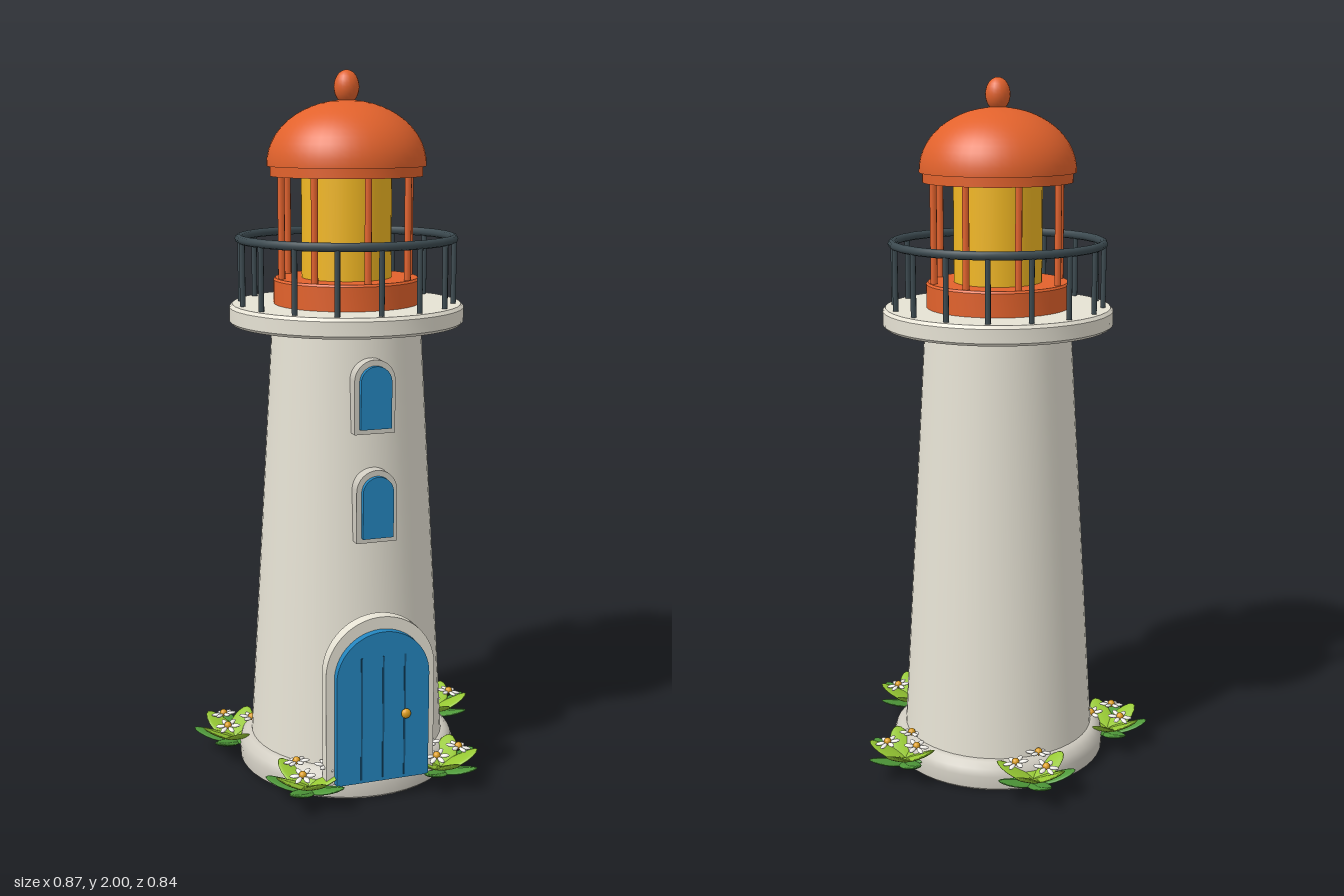
import * as THREE from 'three';
import { toCreasedNormals } from 'three/addons/utils/BufferGeometryUtils.js';

const mat = (color) => new THREE.MeshStandardMaterial({ color });
const M = {
  wall: mat(0xe6e2d4), stone: mat(0xcfcbc0), orange: mat(0xe2622c), glow: mat(0xf2b824),
  rail: mat(0x3c4a50), blue: mat(0x2384bd), groove: mat(0x17577f), gold: mat(0xe0a020),
  lime: mat(0x97c934), green: mat(0x4f9a3a), petal: mat(0xf0eee8),
};

function add(parent, name, geometry, material, x = 0, y = 0, z = 0) {
  const mesh = new THREE.Mesh(geometry, material);
  mesh.name = name;
  mesh.position.set(x, y, z);
  parent.add(mesh);
  return mesh;
}

// Turned solid from [radius, height] pairs, listed bottom to top
function turned(points, segments = 40) {
  const g = new THREE.LatheGeometry(points.map(([r, y]) => new THREE.Vector2(r, y)), segments);
  return toCreasedNormals(g, 0.6);
}

// Round-topped slab standing on its bottom edge, back face at z = 0
function archSlab(width, height, depth) {
  const r = width / 2;
  const s = new THREE.Shape();
  s.moveTo(-r, 0);
  s.lineTo(r, 0);
  s.lineTo(r, height - r);
  s.absarc(0, height - r, r, 0, Math.PI, false);
  s.closePath();
  const g = new THREE.ExtrudeGeometry(s, { depth, bevelEnabled: false, curveSegments: 20 });
  return toCreasedNormals(g, 0.6);
}

// Leaf growing along +x: a flat ellipsoid narrowed to a tip and curled upward
function leafGeometry(length, width) {
  const g = new THREE.SphereGeometry(1, 16, 10);
  const p = g.attributes.position;
  for (let i = 0; i < p.count; i++) {
    const t = (p.getX(i) + 1) / 2;
    p.setXYZ(i, t * length, p.getY(i) * 0.007 + 0.018 * t * t,
      p.getZ(i) * width * 0.5 * (1.15 - 0.3 * t));
  }
  g.computeVertexNormals();
  return g;
}

function flower() {
  const group = new THREE.Group();
  group.name = 'flower';
  const petal = new THREE.SphereGeometry(1, 10, 8).scale(0.015, 0.005, 0.0075);
  for (let i = 0; i < 6; i++) {
    const a = (i / 6) * Math.PI * 2 + 0.3;
    const m = add(group, 'petal', petal, M.petal, Math.cos(a) * 0.022, 0, Math.sin(a) * 0.022);
    m.rotation.y = -a;
  }
  add(group, 'flowerCentre', new THREE.SphereGeometry(0.011, 12, 8), M.gold, 0, 0.003, 0);
  return group;
}

function plant() {
  const group = new THREE.Group();
  group.name = 'plant';
  const layers = [
    { name: 'lowerLeaf', geo: leafGeometry(0.126, 0.062), m: M.green, turn: -90, tilt: 0.16, y: 0.034 },
    { name: 'upperLeaf', geo: leafGeometry(0.118, 0.07), m: M.lime, turn: -54, tilt: 0.33, y: 0.042 },
  ];
  for (const l of layers) {
    for (let i = 0; i < 5; i++) {
      const m = add(group, l.name, l.geo, l.m, 0, l.y, 0);
      m.rotation.set(0, -THREE.MathUtils.degToRad(l.turn + i * 72), l.tilt);
    }
  }
  for (const deg of [-115, 5, 125]) {
    const a = THREE.MathUtils.degToRad(deg);
    const f = flower();
    f.position.set(Math.cos(a) * 0.052, 0.1, Math.sin(a) * 0.052);
    f.rotation.set(Math.sin(a) * 0.2, 0, -Math.cos(a) * 0.2);
    group.add(f);
  }
  return group;
}

export function createModel() {
  const model = new THREE.Group();
  model.name = 'lighthouse';
  const body = new THREE.Group();
  body.name = 'tower';
  body.position.z = 0.03;
  model.add(body);

  // Foundation, tapered wall and gallery floor
  add(body, 'foundation', turned([[0, 0], [0.31, 0], [0.318, 0.008], [0.32, 0.045],
    [0.313, 0.066], [0.298, 0.082], [0.285, 0.086], [0, 0.086]], 48), M.stone);
  add(body, 'wall', turned([[0.286, 0.05], [0.21, 1.32]], 48), M.wall);
  add(body, 'galleryFloor', turned([[0, 1.308], [0.322, 1.308], [0.33, 1.316], [0.33, 1.355],
    [0.322, 1.364], [0, 1.364]]), M.wall);

  // Railing
  const ring = new THREE.TorusGeometry(0.3, 0.012, 8, 28).rotateX(Math.PI / 2);
  add(body, 'railingRing', ring, M.rail, 0, 1.545, 0);
  const railPost = new THREE.CylinderGeometry(0.008, 0.008, 0.19, 8);
  for (let i = 0; i < 16; i++) {
    const a = (i / 16) * Math.PI * 2;
    add(body, 'railingPost', railPost, M.rail, Math.sin(a) * 0.3, 1.455, Math.cos(a) * 0.3);
  }

  // Lantern room
  add(body, 'lanternBase', turned([[0, 1.36], [0.205, 1.36], [0.205, 1.43], [0.2, 1.436],
    [0, 1.436]]), M.orange);
  add(body, 'lanternLight', new THREE.CylinderGeometry(0.126, 0.126, 0.3, 36), M.glow, 0, 1.58, 0);
  const lanternPost = new THREE.CylinderGeometry(0.01, 0.01, 0.3, 8);
  for (let i = 0; i < 8; i++) {
    const a = (i / 8) * Math.PI * 2;
    add(body, 'lanternPost', lanternPost, M.orange, Math.sin(a) * 0.188, 1.58, Math.cos(a) * 0.188);
  }

  // Roof
  add(body, 'roofRing', turned([[0, 1.715], [0.212, 1.715], [0.212, 1.75], [0, 1.75]]), M.orange);
  const dome = [[0, 1.742], [0.221, 1.742]];
  for (let i = 0; i <= 14; i++) {
    const a = (i / 14) * Math.PI / 2;
    dome.push([Math.cos(a) * 0.221, 1.747 + Math.sin(a) * 0.173]);
  }
  add(body, 'dome', turned(dome, 48), M.orange);
  add(body, 'finial', new THREE.SphereGeometry(1, 20, 14).scale(0.035, 0.046, 0.035),
    M.orange, 0, 1.954, 0);

  // Door with grooves and knob
  add(model, 'doorFrame', archSlab(0.317, 0.48, 0.037), M.wall, 0, 0.055, 0.303);
  add(model, 'door', archSlab(0.27, 0.44, 0.045), M.blue, 0, 0.06, 0.318);
  for (const x of [-0.063, 0, 0.063]) {
    add(model, 'doorGroove', new THREE.BoxGeometry(0.005, 0.36, 0.004), M.groove, x, 0.25, 0.363);
  }
  add(model, 'doorKnob', new THREE.SphereGeometry(1, 14, 10).scale(0.014, 0.014, 0.01),
    M.gold, 0.065, 0.255, 0.37);

  // Windows
  for (const [y, z] of [[0.737, 0.3], [1.037, 0.28]]) {
    add(model, 'windowFrame', archSlab(0.116, 0.203, 0.04), M.stone, 0, y, z - 0.04);
    add(model, 'windowPane', archSlab(0.088, 0.172, 0.03), M.blue, 0, y + 0.015, z - 0.016);
  }

  // Flowering plants evenly spaced around the foundation
  for (let i = 0; i < 5; i++) {
    const a = (i / 5) * Math.PI * 2;
    const p = plant();
    p.position.set(Math.sin(a) * 0.337, 0, 0.03 - Math.cos(a) * 0.337);
    model.add(p);
  }
  return model;
}
